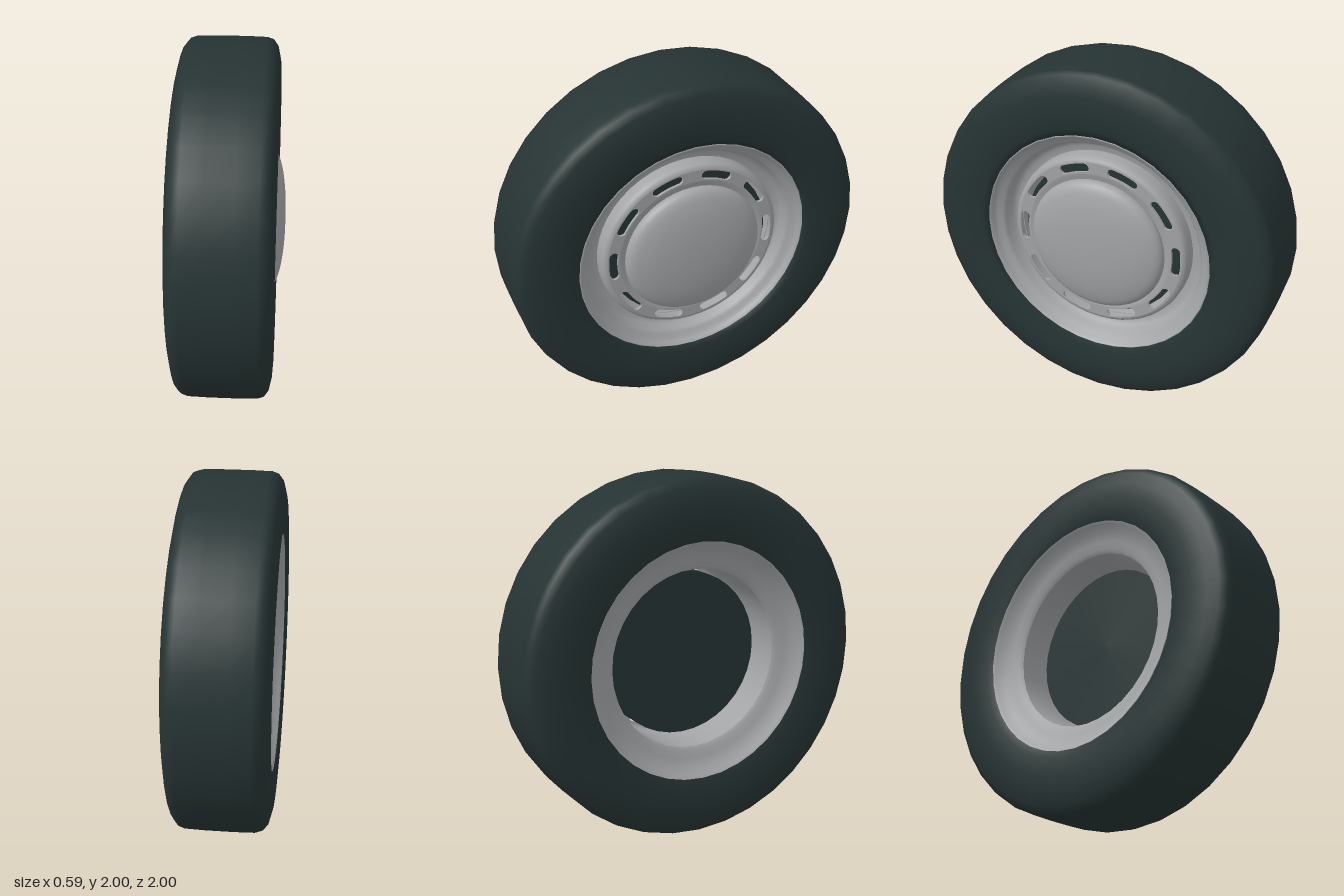
import * as THREE from 'three';

const rubber = new THREE.MeshStandardMaterial({ color: 0x263333 });
rubber.name = 'dark rubber';
const steel = new THREE.MeshStandardMaterial({ color: 0xa2a4a6, side: THREE.DoubleSide });
steel.name = 'grey steel';

// Smooth solid of revolution about the x axle; profile points are [radius, x]
function turned(name, points, material, segments = 48, smooth = false) {
  let pts = points.map(([r, x]) => new THREE.Vector2(r, x));
  if (smooth) pts = new THREE.SplineCurve(pts).getPoints(points.length * 4);
  for (const p of pts) p.x = Math.max(p.x, 0);
  const mesh = new THREE.Mesh(new THREE.LatheGeometry(pts, segments).rotateZ(-Math.PI / 2), material);
  mesh.name = name;
  return mesh;
}

// Band of the wheel face with ten curved, round-ended slots
function slottedBand() {
  const inner = 0.422, outer = 0.488, mid = 0.455, half = 0.025;
  const shape = new THREE.Shape().absarc(0, 0, outer, 0, Math.PI * 2, false);
  shape.holes.push(new THREE.Path().absarc(0, 0, inner, 0, Math.PI * 2, true));
  const reach = 0.14;
  for (let i = 0; i < 10; i++) {
    const a = (i / 10) * Math.PI * 2;
    const slot = new THREE.Path();
    slot.absarc(0, 0, mid + half, a - reach, a + reach, false);
    const e = a + reach, s = a - reach;
    slot.absarc(mid * Math.cos(e), mid * Math.sin(e), half, e, e + Math.PI, false);
    slot.absarc(0, 0, mid - half, e, s, true);
    slot.absarc(mid * Math.cos(s), mid * Math.sin(s), half, s + Math.PI, s + Math.PI * 2, false);
    shape.holes.push(slot);
  }
  const geo = new THREE.ExtrudeGeometry(shape, { depth: 0.015, bevelEnabled: false, curveSegments: 24 });
  const mesh = new THREE.Mesh(geo.rotateY(Math.PI / 2), steel);
  mesh.name = 'slottedBand';
  mesh.position.x = 0.175;
  return mesh;
}

export function createModel() {
  const wheel = new THREE.Group();
  wheel.name = 'wheel';
  wheel.position.y = 1;

  // Tyre: closed section with rounded shoulders
  wheel.add(turned('tyre', [
    [0.655, -0.27], [0.70, -0.288], [0.80, -0.295], [0.88, -0.29], [0.95, -0.272], [0.985, -0.245], [0.997, -0.21],
    [1, -0.1], [1, 0.06], [0.997, 0.17], [0.985, 0.205], [0.95, 0.23], [0.88, 0.245], [0.80, 0.25], [0.70, 0.243],
    [0.655, 0.225], [0.645, 0], [0.655, -0.27],
  ], rubber, 36));

  // Rim: front lip, stepped bowl, barrel and flared back
  wheel.add(turned('rimFront', [
    [0.515, 0.10], [0.55, 0.105], [0.578, 0.12], [0.59, 0.165], [0.605, 0.185],
    [0.63, 0.192], [0.645, 0.215], [0.655, 0.237], [0.662, 0.232],
  ], steel, 36));
  wheel.add(turned('rimBarrel', [[0.5, -0.19], [0.505, 0.0], [0.515, 0.10]], steel, 36));
  wheel.add(turned('rimBack', [
    [0.5, -0.19], [0.52, -0.205], [0.56, -0.215], [0.61, -0.235], [0.645, -0.27], [0.66, -0.28],
  ], steel, 36));

  // Wheel face: slotted band between two rounded rings
  wheel.add(slottedBand());
  wheel.add(turned('faceOuterRing', [
    [0.488, 0.19], [0.502, 0.186], [0.512, 0.174], [0.518, 0.15], [0.518, 0.10],
  ], steel, 48));
  wheel.add(turned('faceInnerRing', [[0.38, 0.18], [0.395, 0.183], [0.41, 0.188], [0.422, 0.19]], steel, 48));

  // Domed hub cap with a rolled edge
  wheel.add(turned('hubCap', [
    [0.384, 0.178], [0.392, 0.195], [0.388, 0.217], [0.37, 0.238], [0.33, 0.257], [0.25, 0.277], [0.13, 0.291], [0, 0.295],
  ], steel, 48, true));

  // Dark drum behind the slots
  const drum = new THREE.Mesh(new THREE.CylinderGeometry(0.462, 0.462, 0.18, 36).rotateZ(Math.PI / 2), rubber);
  drum.name = 'drum';
  drum.position.x = 0.05;
  wheel.add(drum);

  const model = new THREE.Group();
  model.add(wheel);
  return model;
}
